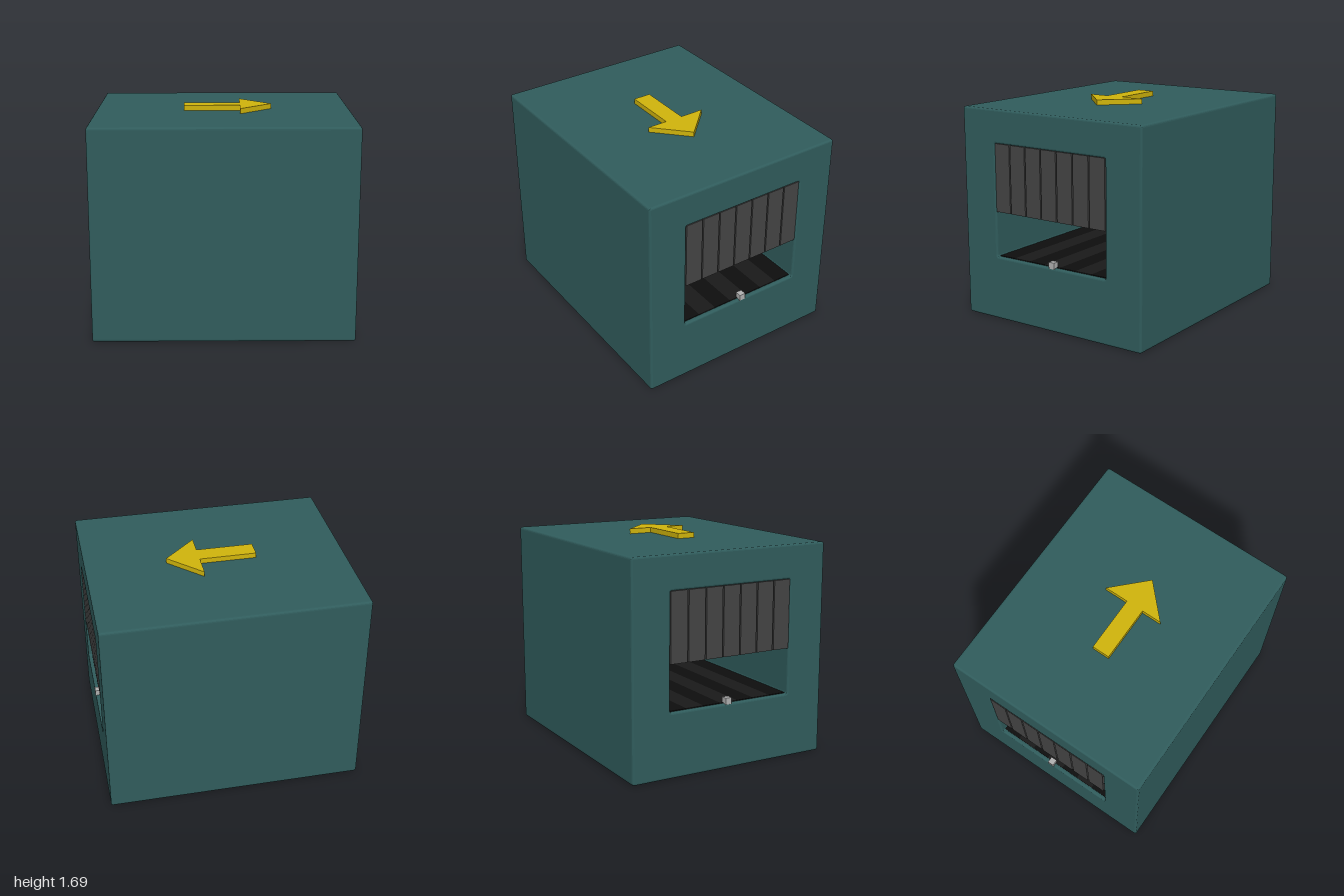
import * as THREE from 'three';

const mat = (color) => new THREE.MeshStandardMaterial({ color });

function add(parent, name, geometry, material, x = 0, y = 0, z = 0) {
  const mesh = new THREE.Mesh(geometry, material);
  mesh.name = name;
  mesh.position.set(x, y, z);
  parent.add(mesh);
  return mesh;
}

// Rectangle with softened corners, traced into a Shape or Path
function roundedRect(path, x0, y0, x1, y1, r) {
  path.moveTo(x0 + r, y0);
  path.lineTo(x1 - r, y0);
  path.quadraticCurveTo(x1, y0, x1, y0 + r);
  path.lineTo(x1, y1 - r);
  path.quadraticCurveTo(x1, y1, x1 - r, y1);
  path.lineTo(x0 + r, y1);
  path.quadraticCurveTo(x0, y1, x0, y1 - r);
  path.lineTo(x0, y0 + r);
  path.quadraticCurveTo(x0, y0, x0 + r, y0);
  return path;
}

export function createModel() {
  const model = new THREE.Group();
  model.name = 'tunnelScanner';
  const teal = mat(0x305c5c);
  const rubber = mat(0x444444);
  const yellow = mat(0xd0b40c);
  const grey = mat(0xb0b0b0);
  const beltTones = [mat(0x0e0e0e), mat(0x1a1a1a)];

  // Housing: block with a straight tunnel running along x
  const bevel = 0.015;
  const section = roundedRect(new THREE.Shape(), -0.825, 0, 0.825, 1.65, 0.02);
  section.holes.push(roundedRect(new THREE.Path(), -0.515, 0.5, 0.515, 1.39, 0.016));
  const housing = new THREE.ExtrudeGeometry(section, {
    depth: 2 - 2 * bevel, curveSegments: 4,
    bevelThickness: bevel, bevelSize: bevel, bevelOffset: -bevel, bevelSegments: 3,
  });
  housing.translate(0, 0, bevel - 1);
  housing.rotateY(Math.PI / 2);
  add(model, 'housing', housing, teal);

  // Conveyor belt on the tunnel floor, in lengthwise lanes
  const lanes = 7, laneWidth = 1.02 / lanes;
  const belt = new THREE.Group();
  belt.name = 'conveyorBelt';
  model.add(belt);
  const laneGeometry = new THREE.BoxGeometry(1.94, 0.01, laneWidth);
  for (let i = 0; i < lanes; i++) {
    add(belt, 'beltLane', laneGeometry, beltTones[i % 2], 0, 0.501, (i - 3) * laneWidth);
  }

  // Curtain of hanging strips and a small sensor at each mouth
  const stripGeometry = new THREE.BoxGeometry(0.02, 0.53, 0.137);
  const sensorGeometry = new THREE.BoxGeometry(0.05, 0.05, 0.05);
  for (const [side, x] of [[1, 0.988], [-1, -0.992]]) {
    const curtain = new THREE.Group();
    curtain.name = side > 0 ? 'leftCurtain' : 'rightCurtain';
    model.add(curtain);
    for (let i = 0; i < 7; i++) {
      add(curtain, 'curtainStrip', stripGeometry, rubber, x, 1.125, (i - 3) * 0.1475);
    }
    add(model, 'sensor', sensorGeometry, grey, side * 0.978, 0.52, -0.02);
  }

  // Direction arrow on the roof
  const outline = [
    [-0.31, 0.05], [0.13, 0.05], [0.13, 0.24], [0.38, -0.01],
    [0.13, -0.25], [0.13, -0.09], [-0.31, -0.09],
  ].map(([x, y]) => new THREE.Vector2(x, y));
  const arrow = new THREE.ExtrudeGeometry(new THREE.Shape(outline), { depth: 0.05, bevelEnabled: false });
  arrow.rotateX(-Math.PI / 2);
  add(model, 'directionArrow', arrow, yellow, 0, 1.64, 0);

  return model;
}
